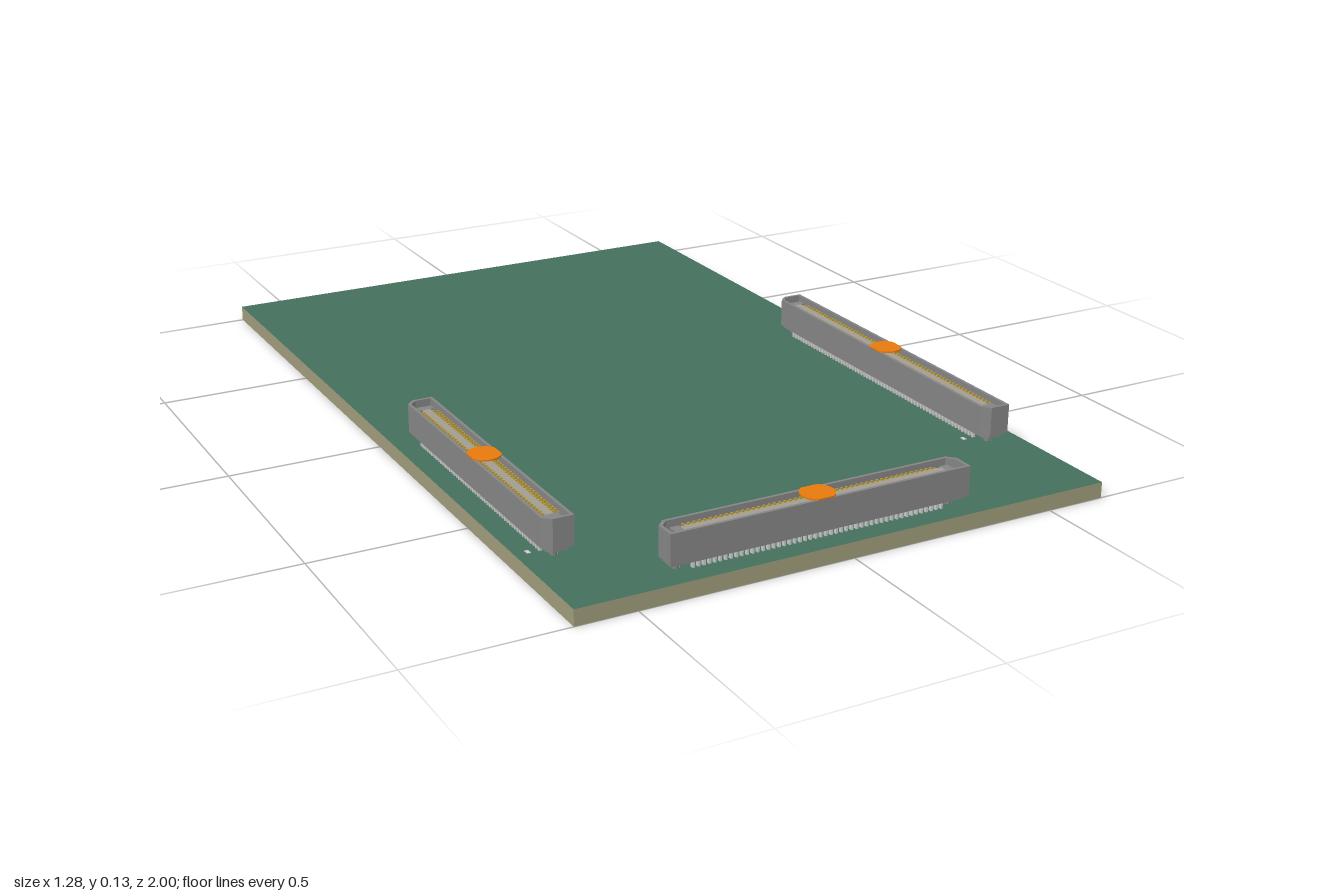
import * as THREE from 'three';
import { mergeGeometries } from 'three/addons/utils/BufferGeometryUtils.js';

const mat = (color) => new THREE.MeshStandardMaterial({ color });
const maskMat = mat(0x44705c);
const coreMat = mat(0xa09c7c);
const bodyMat = mat(0x858585);
const tongueMat = mat(0xa39d92);
const goldMat = mat(0xb59a3c);
const tinMat = mat(0xcccccc);
const capMat = mat(0xe87a0c);
const markMat = mat(0xe8e8e8);

const BOARD_TOP = 0.037;
const PITCH = 0.0125;

// Connectors: centre, length and turn about y
const connectors = [
  { name: 'rightEdgeConnector', x: -0.567, z: 0.43, length: 0.725, turn: Math.PI / 2 },
  { name: 'leftEdgeConnector', x: 0.565, z: 0.28, length: 0.88, turn: Math.PI / 2 },
  { name: 'frontEdgeConnector', x: -0.05, z: 0.93, length: 0.72, turn: 0 },
];

function mesh(name, geometry, material) {
  const m = new THREE.Mesh(geometry, material);
  m.name = name;
  return m;
}

function box(w, h, d, x, y, z) {
  return new THREE.BoxGeometry(w, h, d).translate(x, y, z);
}

// Rectangle with the two corners on its rear side chamfered
function outline(halfL, halfW, cut) {
  return [
    [-halfL, -halfW], [halfL, -halfW], [halfL, halfW - cut],
    [halfL - cut, halfW], [-halfL + cut, halfW], [-halfL, halfW - cut],
  ].map(([x, y]) => new THREE.Vector2(x, y));
}

// Upright prism from a plan shape, between two heights
function slab(shape, y0, y1) {
  return new THREE.ExtrudeGeometry(shape, { depth: y1 - y0, bevelEnabled: false, curveSegments: 16 })
    .rotateX(-Math.PI / 2).translate(0, y0, 0);
}

function makeConnector({ name, x, z, length, turn }) {
  const g = new THREE.Group();
  g.name = name;
  const half = length / 2;

  // Hollow housing on a narrower base
  const wall = new THREE.Shape(outline(half, 0.033, 0.018));
  wall.holes.push(new THREE.Path(outline(half - 0.007, 0.026, 0.015).reverse()));
  g.add(mesh('housingWall', slab(wall, 0.06, 0.128), bodyMat));
  g.add(mesh('housingFloor', slab(new THREE.Shape(outline(half - 0.002, 0.031, 0.017)), 0.0595, 0.068), bodyMat));
  g.add(mesh('housingBase', slab(new THREE.Shape(outline(half - 0.008, 0.022, 0.01)), 0.05, 0.0598), bodyMat));

  // Raised blocks inside both ends, and the contact tongue between them
  const ends = [-1, 1].map((s) => box(0.02, 0.05, 0.034, s * (half - 0.035), 0.093, 0.002));
  g.add(mesh('endBlocks', mergeGeometries(ends), bodyMat));
  g.add(mesh('tongue', box(length - 0.09, 0.05, 0.018, 0, 0.093, 0), tongueMat));

  // Two rows of contacts with solder feet below
  const contacts = [], feet = [];
  const count = Math.floor((length - 0.11) / PITCH);
  for (let i = 0; i <= count; i++) {
    const px = (i - count / 2) * PITCH;
    for (const s of [-1, 1]) {
      contacts.push(box(0.006, 0.05, 0.005, px, 0.093, s * 0.0115));
      contacts.push(box(0.006, 0.05, 0.004, px, 0.09, s * 0.024));
      feet.push(box(0.005, 0.014, 0.008, px, 0.0435, s * 0.017));
    }
  }
  g.add(mesh('contacts', mergeGeometries(contacts), goldMat));
  g.add(mesh('solderFeet', mergeGeometries(feet), tinMat));

  // Locating pegs reaching into the board holes
  const pegs = [-1, 1].map((s) =>
    new THREE.CylinderGeometry(0.008, 0.007, 0.034, 16).translate(s * (half - 0.03), 0.035, 0));
  g.add(mesh('locatingPegs', mergeGeometries(pegs), bodyMat));

  // Round pick-up pad with flattened long sides
  const pad = new THREE.Shape();
  const a = Math.asin(0.033 / 0.038);
  pad.absarc(0, 0, 0.038, -a, a, false);
  pad.absarc(0, 0, 0.038, Math.PI - a, Math.PI + a, false);
  g.add(mesh('pickupPad', slab(pad, 0.1275, 0.131), capMat));

  // First-contact mark printed on the board
  g.add(mesh('firstContactMark', box(0.014, 0.001, 0.009, -half + 0.06, BOARD_TOP + 0.0005, -0.043), markMat));

  g.position.set(x, 0, z);
  g.rotation.y = turn;
  return g;
}

export function createModel() {
  const model = new THREE.Group();
  model.name = 'circuitBoard';

  // Board with two peg holes per connector
  const plan = new THREE.Shape([[-0.64, -1], [0.64, -1], [0.64, 1], [-0.64, 1]]
    .map(([x, y]) => new THREE.Vector2(x, y)));
  for (const c of connectors) {
    for (const s of [-1, 1]) {
      const r = s * (c.length / 2 - 0.03);
      const hole = new THREE.Path();
      hole.absarc(c.x + r * Math.cos(c.turn), -(c.z - r * Math.sin(c.turn)), 0.0095, 0, Math.PI * 2, true);
      plan.holes.push(hole);
    }
  }
  model.add(mesh('board', slab(plan, 0, BOARD_TOP), [maskMat, coreMat]));

  for (const c of connectors) model.add(makeConnector(c));
  return model;
}
